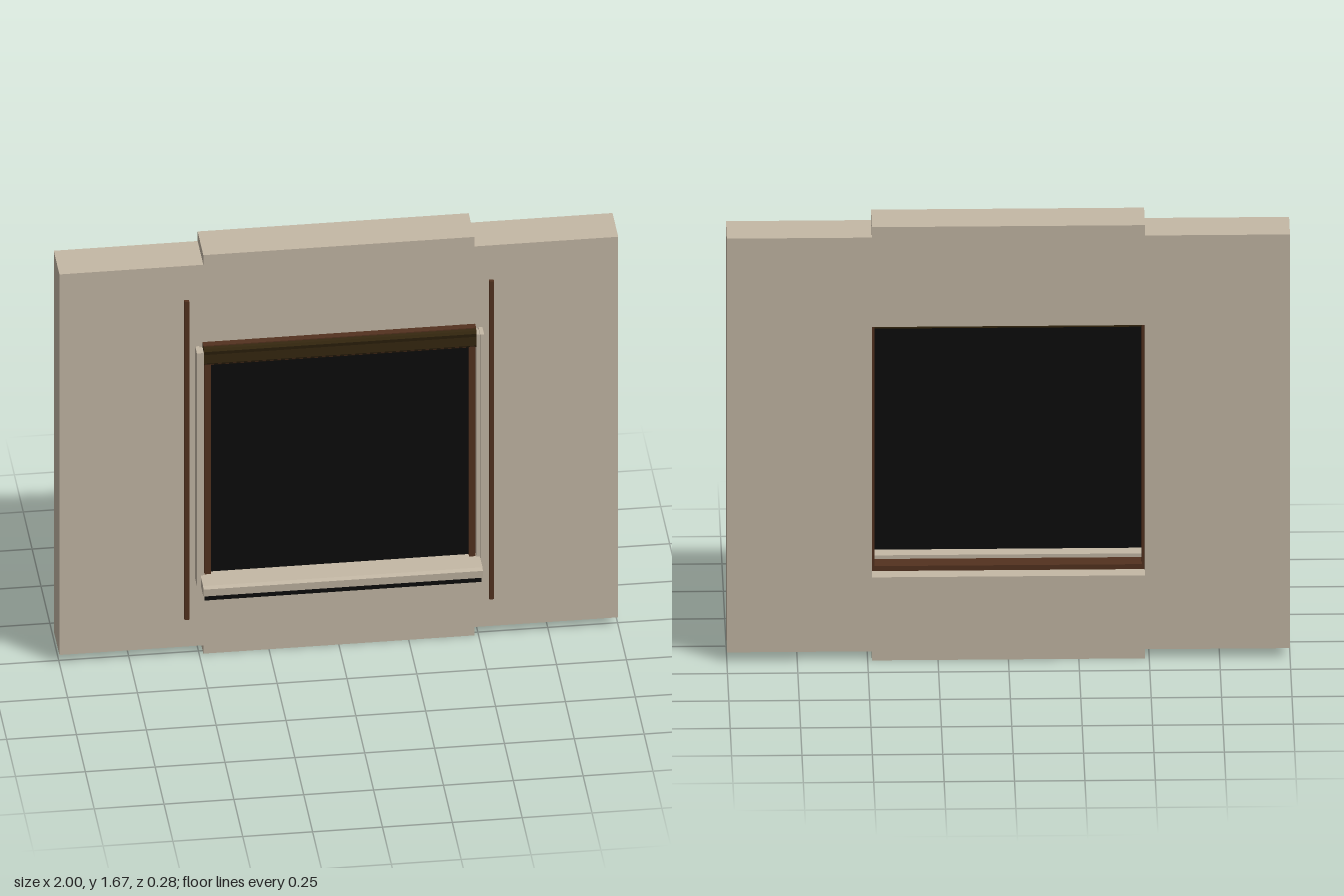
import * as THREE from 'three';

export function createModel() {
  const root = new THREE.Group();
  const mat = (name, color, side = THREE.FrontSide) => {
    const m = new THREE.MeshStandardMaterial({ color, side });
    m.name = name;
    return m;
  };
  const plaster = mat('plaster', 0xc4b8a5);
  const wood = mat('brown wood', 0x53321f);
  const darkWood = mat('dark wood', 0x35270f);
  const black = mat('black', 0x0c0c0c);

  const add = (name, geometry, material) => {
    const m = new THREE.Mesh(geometry, material);
    m.name = name;
    root.add(m);
    return m;
  };
  // Box given by its limits on each axis
  const box = (name, material, [x0, x1], [y0, y1], [z0, z1]) => {
    const m = add(name, new THREE.BoxGeometry(x1 - x0, y1 - y0, z1 - z0), material);
    m.position.set((x0 + x1) / 2, (y0 + y1) / 2, (z0 + z1) / 2);
    return m;
  };
  const polygon = (points, Type = THREE.Shape) =>
    new Type(points.map(([x, y]) => new THREE.Vector2(x, y)));
  const rect = (x, y0, y1) => [[-x, y0], [x, y0], [x, y1], [-x, y1]];
  // Flat outline with a rectangular opening, extruded from z0 to z1
  const framed = (name, material, outline, hole, z0, z1) => {
    const shape = polygon(outline);
    shape.holes.push(polygon(hole, THREE.Path));
    const g = new THREE.ExtrudeGeometry(shape, { depth: z1 - z0, bevelEnabled: false });
    add(name, g.translate(0, 0, z0), material);
  };
  // (z, y) profile swept along x
  const swept = (name, material, profile, halfWidth) => {
    const shape = polygon(profile.map(([z, y]) => [-z, y]));
    const g = new THREE.ExtrudeGeometry(shape, { depth: 2 * halfWidth, bevelEnabled: false });
    add(name, g.translate(0, 0, -halfWidth).rotateY(Math.PI / 2), material);
  };

  // Wall panel, taller in the middle, with the window opening
  const c = 0.485;
  framed('wall', plaster, [
    [-1, 0.035], [-c, 0.035], [-c, 0], [c, 0], [c, 0.035], [1, 0.035],
    [1, 1.63], [c, 1.63], [c, 1.67], [-c, 1.67], [-c, 1.63], [-1, 1.63],
  ], rect(c, 0.32, 1.285), -0.14, 0.02);

  // Thin wooden lining and the wider trim at its front
  framed('windowLining', wood, rect(0.484, 0.321, 1.284), rect(0.475, 0.34, 1.265), -0.085, 0.04);
  framed('frontTrim', wood, rect(c, 0.33, 1.295), rect(0.462, 0.35, 1.232), 0.04, 0.055);
  box('pane', black, [-0.476, 0.476], [0.335, 1.24], [0.032, 0.038]);

  // Head moulding with a stepped, sloping front
  swept('headMoulding', darkWood, [
    [-0.02, 1.228], [0.052, 1.228], [0.058, 1.238], [0.058, 1.275],
    [0.063, 1.29], [0.058, 1.3], [0.045, 1.302], [0.02, 1.302], [0.02, 1.266], [-0.02, 1.266],
  ], 0.488);
  box('headCap', wood, [-0.488, 0.488], [1.302, 1.306], [0.02, 0.046]);

  // Sill with a chamfered nose and a drip strip below
  swept('sill', plaster, [
    [-0.02, 0.325], [0.02, 0.325], [0.02, 0.315], [0.14, 0.315],
    [0.142, 0.345], [0.132, 0.354], [-0.02, 0.354],
  ], 0.5);
  box('dripStrip', black, [-0.495, 0.495], [0.298, 0.315], [0.132, 0.14]);

  // Side casings and the slim upright rods
  for (const s of [-1, 1]) {
    const side = (name, material, a, b, y, z) =>
      box(name, material, s > 0 ? [a, b] : [-b, -a], y, z);
    side('casingInner', plaster, 0.488, 0.504, [0.315, 1.285], [0.02, 0.06]);
    side('casingOuter', plaster, 0.5, 0.514, [0.315, 1.29], [0.02, 0.069]);
    side('sideRod', wood, 0.537, 0.554, [0.155, 1.487], [0.02, 0.034]);
  }
  return root;
}
